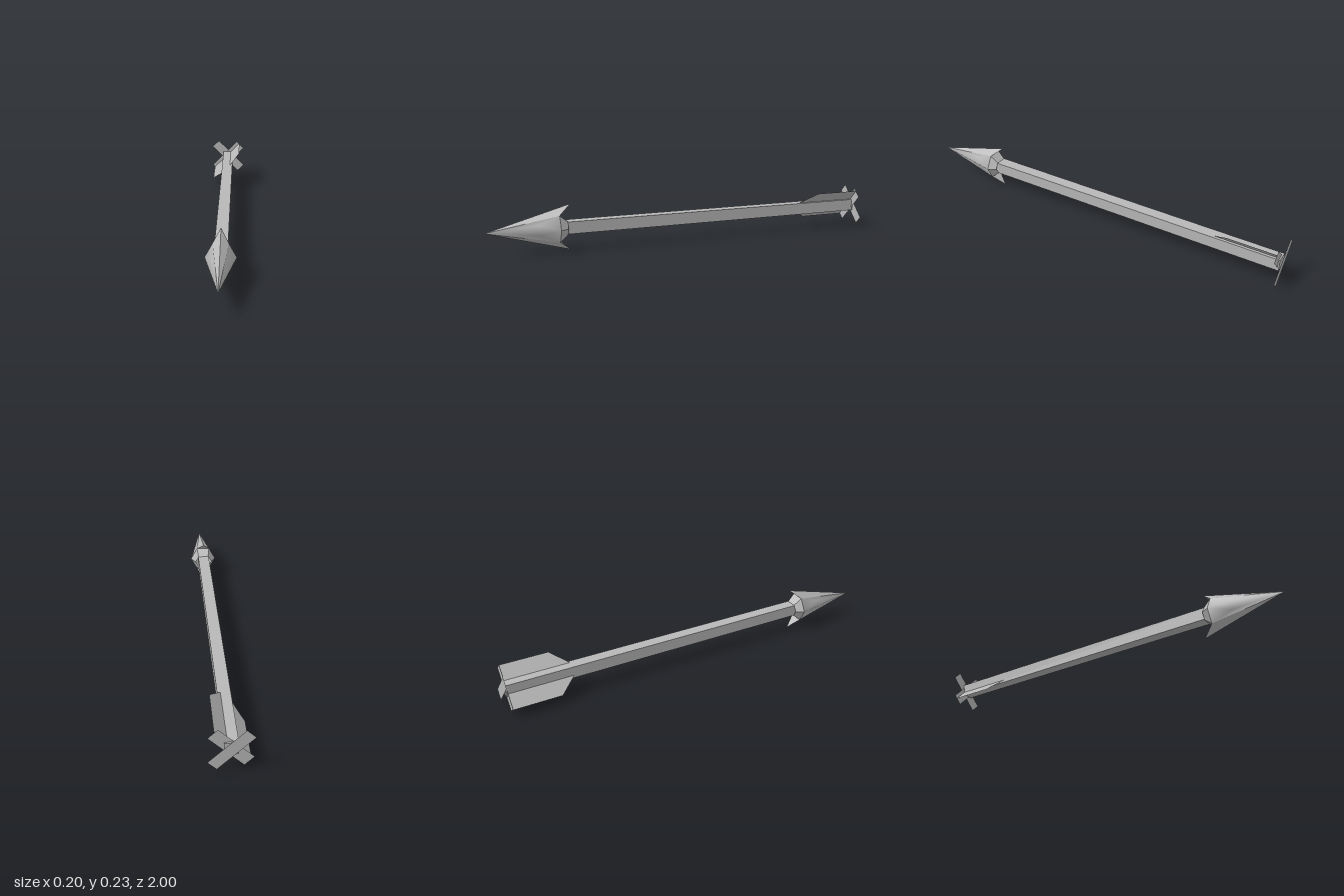
import * as THREE from 'three';

const AXIS_Y = 0.114;

// Builds a geometry from a few corners and triangles; flat faces or blended normals
function facets(points, faces, flat = true) {
  let geo = new THREE.BufferGeometry();
  geo.setAttribute('position', new THREE.Float32BufferAttribute(points.flat(), 3));
  geo.setIndex(faces.flat());
  if (flat) geo = geo.toNonIndexed();
  geo.computeVertexNormals();
  return geo;
}

export function createModel() {
  const grey = new THREE.MeshStandardMaterial({ color: 0xb8b8b8, side: THREE.DoubleSide });
  grey.name = 'grey';

  const model = new THREE.Group();
  model.name = 'arrow';
  const add = (name, geo, parent = model) => {
    const mesh = new THREE.Mesh(geo, grey);
    mesh.name = name;
    parent.add(mesh);
    return mesh;
  };

  // Square shaft
  add('shaft', new THREE.BoxGeometry(0.06, 0.06, 1.63)).position.set(0, AXIS_Y + 0.001, -0.177);

  // Arrowhead: two side flanks and two barbs, each repeated by a half turn
  const head = new THREE.Group();
  head.name = 'arrowhead';
  head.position.y = AXIS_Y;
  model.add(head);

  const tip = [0, 0, 1];
  const flank = facets(
    [tip, [0.07, 0, 0.65], [0.03, 0.024, 0.75], [0.035, 0.065, 0.65],
      [0.03, -0.024, 0.75], [0.035, -0.065, 0.65]],
    [[0, 1, 2], [2, 1, 3], [0, 2, 3], [0, 4, 1], [4, 5, 1], [0, 5, 4]], false);
  const barb = facets(
    [tip, [0.035, 0.065, 0.65], [0, 0.114, 0.59], [-0.035, 0.065, 0.65]],
    [[0, 1, 2], [0, 2, 3], [1, 3, 2]]);
  for (const [side, turn] of [['left', 0], ['right', Math.PI]]) {
    add(side + 'Flank', flank, head).rotation.z = turn;
  }
  for (const [side, turn] of [['upper', 0], ['lower', Math.PI]]) {
    add(side + 'Barb', barb, head).rotation.z = turn;
  }

  // Collar narrowing from the widest rim back to the shaft
  const ring = (w, cx, cy, z) => [[w, 0, z], [cx, cy, z], [-cx, cy, z],
    [-w, 0, z], [-cx, -cy, z], [cx, -cy, z]];
  const collarFaces = [];
  for (let i = 0; i < 6; i++) {
    const j = (i + 1) % 6;
    collarFaces.push([i, i + 6, j + 6], [i, j + 6, j]);
  }
  add('collar', facets(
    [...ring(0.07, 0.035, 0.065, 0.65), ...ring(0.045, 0.027, 0.032, 0.61)], collarFaces), head);

  // Diagonal fin sheet running through the shaft, tapered at its front
  const outline = new THREE.Shape([
    [-0.985, -0.11], [-0.745, -0.11], [-0.665, -0.035],
    [-0.665, 0.035], [-0.745, 0.11], [-0.985, 0.11],
  ].map(([z, s]) => new THREE.Vector2(z, s)));
  const r = Math.SQRT1_2;
  const fin = new THREE.ShapeGeometry(outline);
  fin.applyMatrix4(new THREE.Matrix4().makeBasis(
    new THREE.Vector3(0, 0, 1), new THREE.Vector3(r, r, 0), new THREE.Vector3(-r, r, 0)));
  add('fin', fin).position.set(-0.0075, AXIS_Y + 0.0075, 0);

  // Crossed flat vanes at the tail
  for (const [name, length, width, turn, z] of [
    ['innerTailVane', 0.214, 0.06, Math.PI / 4, -0.985],
    ['outerTailVane', 0.224, 0.055, -Math.PI / 4, -1],
  ]) {
    const vane = add(name, new THREE.PlaneGeometry(length, width));
    vane.rotation.z = turn;
    vane.position.set(0, AXIS_Y + 0.001, z);
  }

  return model;
}
